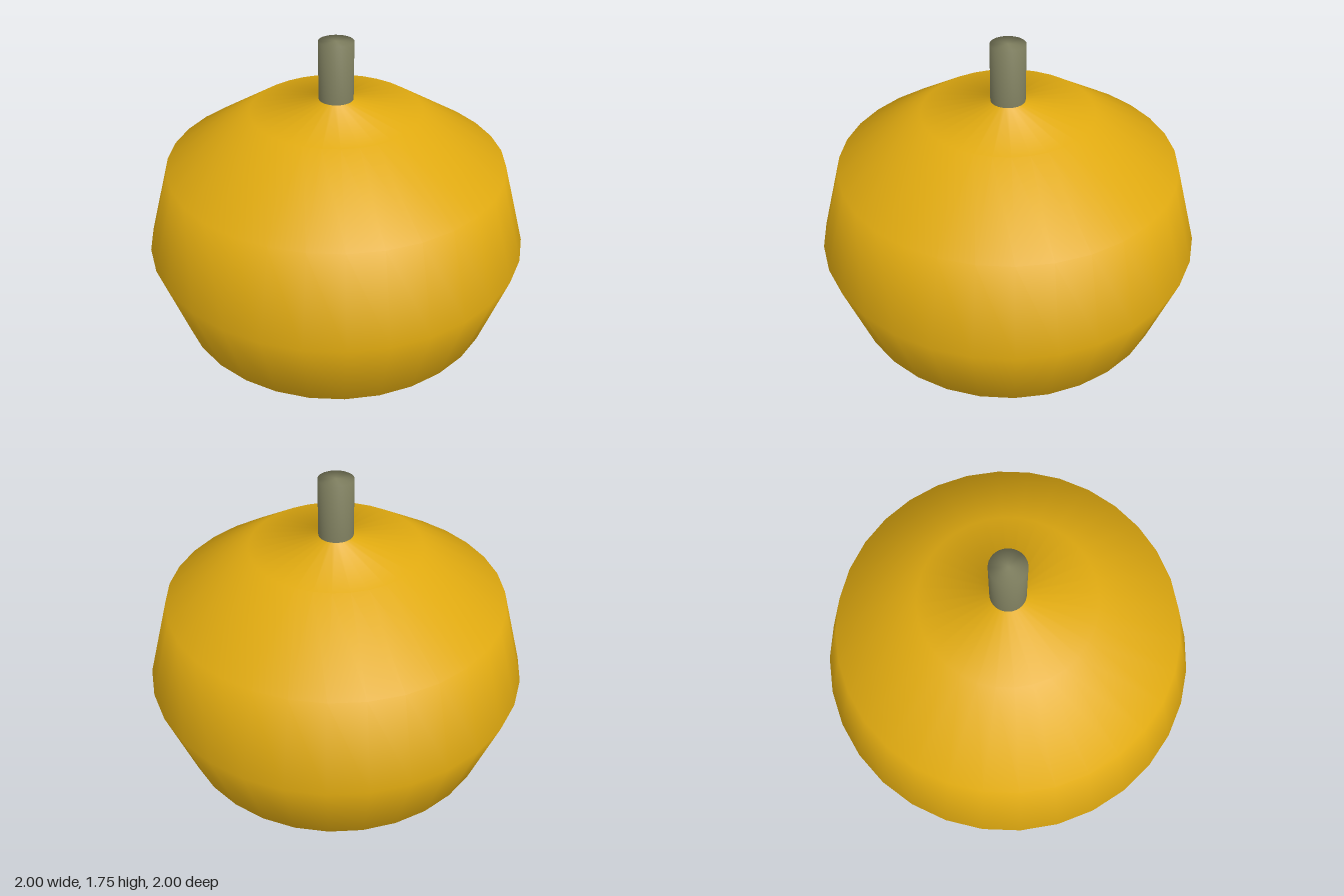
import * as THREE from 'three';

const SEGMENTS = 32;

// Smooth surface of revolution from [radius, height] pairs, bottom to top
function turned(name, profile, color) {
  const points = profile.map(([r, y]) => new THREE.Vector2(r, y));
  const mesh = new THREE.Mesh(
    new THREE.LatheGeometry(points, SEGMENTS),
    new THREE.MeshStandardMaterial({ color })
  );
  mesh.name = name;
  return mesh;
}

export function createModel() {
  const group = new THREE.Group();
  group.name = 'gourd';

  // Squat body; the last point runs up inside the stem so the shading blends into it
  group.add(turned('body', [
    [0, 0], [0.545, 0], [0.87, 0.265], [1, 0.7],
    [0.87, 1.135], [0.435, 1.4], [0.085, 1.455], [0.085, 1.74],
  ], 0xe0aa10));

  // Straight stem with a softly shaded flat top
  group.add(turned('stem', [
    [0.0875, 1.45], [0.0875, 1.75], [0, 1.75],
  ], 0x808060));

  return group;
}
